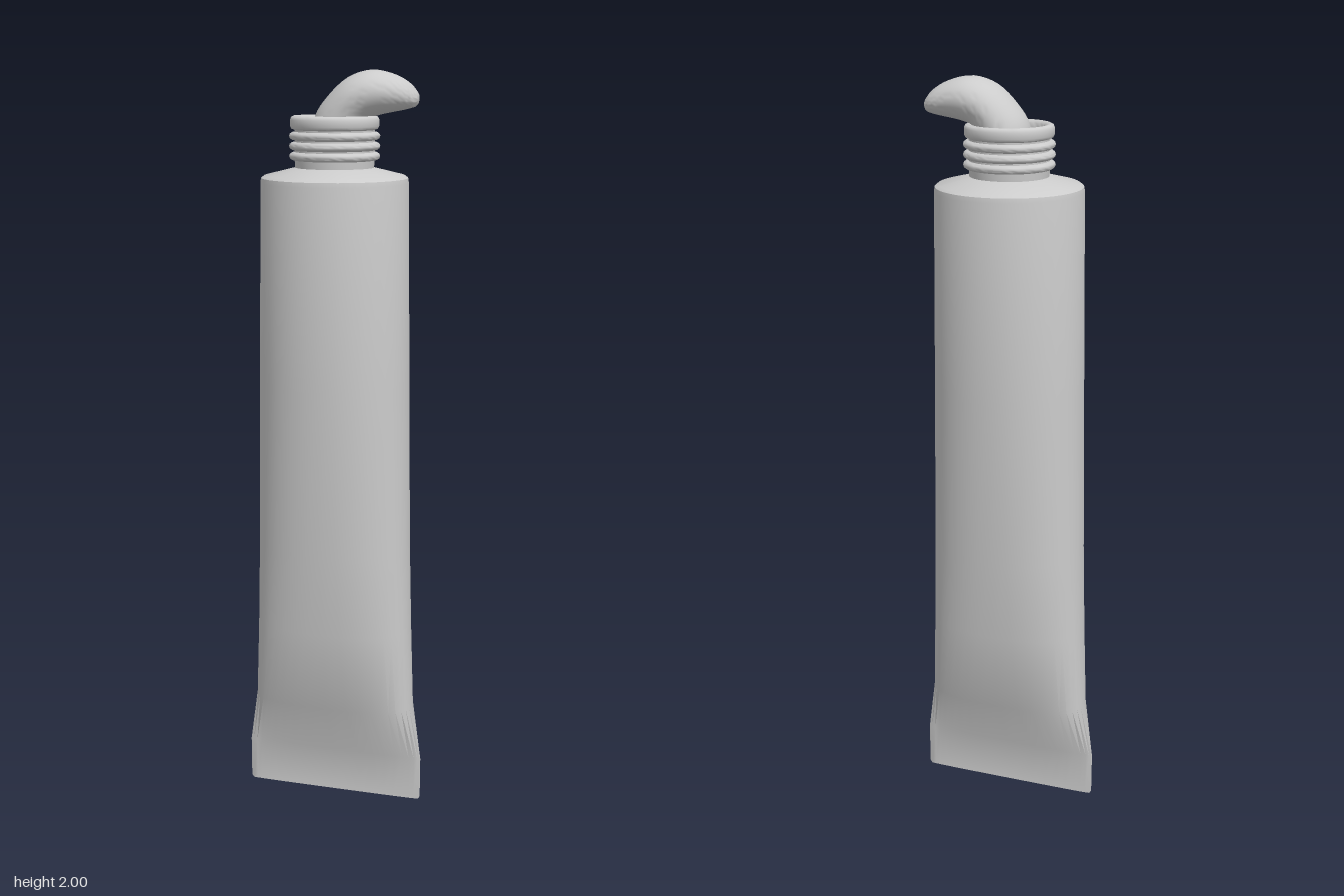
import * as THREE from 'three';
import { toCreasedNormals } from 'three/addons/utils/BufferGeometryUtils.js';

const SIDES = 40;
const material = new THREE.MeshStandardMaterial({ color: 0xcccccc });

// Skin a list of rings, each ring a function from angle to [x, y, z].
function loft(rings, crease) {
  const pos = [], index = [];
  rings.forEach((ring, i) => {
    for (let j = 0; j < SIDES; j++) {
      pos.push(...ring((j / SIDES) * Math.PI * 2));
      if (i === rings.length - 1) continue;
      const a = i * SIDES + j, b = i * SIDES + ((j + 1) % SIDES);
      index.push(a, a + SIDES, b, b, a + SIDES, b + SIDES);
    }
  });
  const geo = new THREE.BufferGeometry();
  geo.setAttribute('position', new THREE.Float32BufferAttribute(pos, 3));
  geo.setIndex(index);
  return toCreasedNormals(geo, crease);
}

// Horizontal superellipse: n = 2 is round, larger n is squarer.
const power = (v, n) => Math.sign(v) * Math.abs(v) ** (2 / n);
const section = ([y, halfX, halfZ, n = 2]) => (t) =>
  [halfX * power(Math.cos(t), n), y, halfZ * power(Math.sin(t), n)];

// Round shoulder at the top flattening into a crimped seal at the bottom.
function tubeBody() {
  const rings = [
    [0, 0, 0],
    [0, 0.245, 0.004, 3],
    [0.008, 0.25, 0.004, 3],
    [0.125, 0.25, 0.004, 3],
    [0.29, 0.223, 0.095, 2.7],
    [0.52, 0.214, 0.124, 2.45],
    [0.75, 0.207, 0.15, 2.25],
    [1.2, 0.199, 0.17, 2.1],
    [1.72, 0.19, 0.19],
    [1.732, 0.188, 0.188],
    [1.738, 0.18, 0.18],
    [1.76, 0.09, 0.09],
  ];
  return loft(rings.map(section), 0.6);
}

// Threaded neck: ridges outside, rounded lip, hollow inside with a floor.
function neck() {
  const p = [[0.1, 1.75]];
  for (let k = 0; k < 3; k++) {
    for (let s = 0; s <= 6; s++) {
      const a = (s / 6) * Math.PI;
      p.push([0.102 + 0.014 * Math.sin(a), 1.786 + k * 0.025 - 0.0105 * Math.cos(a)]);
    }
  }
  p.push([0.102, 1.851], [0.11, 1.854], [0.113, 1.86], [0.113, 1.876], [0.11, 1.883],
    [0.104, 1.886], [0.097, 1.885], [0.09, 1.88], [0.086, 1.87], [0.085, 1.8], [0, 1.8]);
  const geo = new THREE.LatheGeometry(p.map(([x, y]) => new THREE.Vector2(x, y)), 48);
  return toCreasedNormals(geo, 0.75);
}

// Squeezed-out paste: oval sections spanning an outer and an inner guide curve.
function paste() {
  const curve = (pts) => new THREE.CatmullRomCurve3(pts.map((q) => new THREE.Vector3(...q)));
  // outer guide: x, y, half width in z
  const outer = curve([
    [-0.057, 1.79, 0.078], [-0.048, 1.885, 0.079], [-0.016, 1.933, 0.08], [0.037, 1.98, 0.08],
    [0.095, 1.998, 0.076], [0.155, 1.986, 0.063], [0.192, 1.964, 0.048], [0.207, 1.945, 0.032],
  ]);
  // inner guide: x, y, centre in z
  const inner = curve([
    [0.065, 1.79, 0], [0.068, 1.83, 0], [0.075, 1.86, 0], [0.09, 1.878, 0],
    [0.115, 1.888, -0.003], [0.152, 1.896, -0.009], [0.182, 1.902, -0.016], [0.203, 1.908, -0.021],
  ]);
  const rings = [];
  const steps = 28;
  for (let i = 0; i <= steps; i++) {
    const o = outer.getPoint(i / steps), n = inner.getPoint(i / steps);
    rings.push((t) => {
      const c = Math.cos(t) / 2;
      return [(o.x + n.x) / 2 + (o.x - n.x) * c, (o.y + n.y) / 2 + (o.y - n.y) * c, n.z - o.z * Math.sin(t)];
    });
  }
  // rounded end
  const last = rings[steps], tip = [0.212, 1.925, -0.021];
  for (const k of [0.7, 0]) {
    rings.push((t) => last(t).map((v, i) => tip[i] + (v - tip[i]) * k + (k && i === 0 ? 0.002 : 0)));
  }
  return loft(rings, 1.2);
}

export function createModel() {
  const group = new THREE.Group();
  group.name = 'squeezeTube';
  const parts = { tubeBody: tubeBody(), threadedNeck: neck(), paste: paste() };
  for (const [name, geometry] of Object.entries(parts)) {
    const mesh = new THREE.Mesh(geometry, material);
    mesh.name = name;
    group.add(mesh);
  }
  return group;
}
